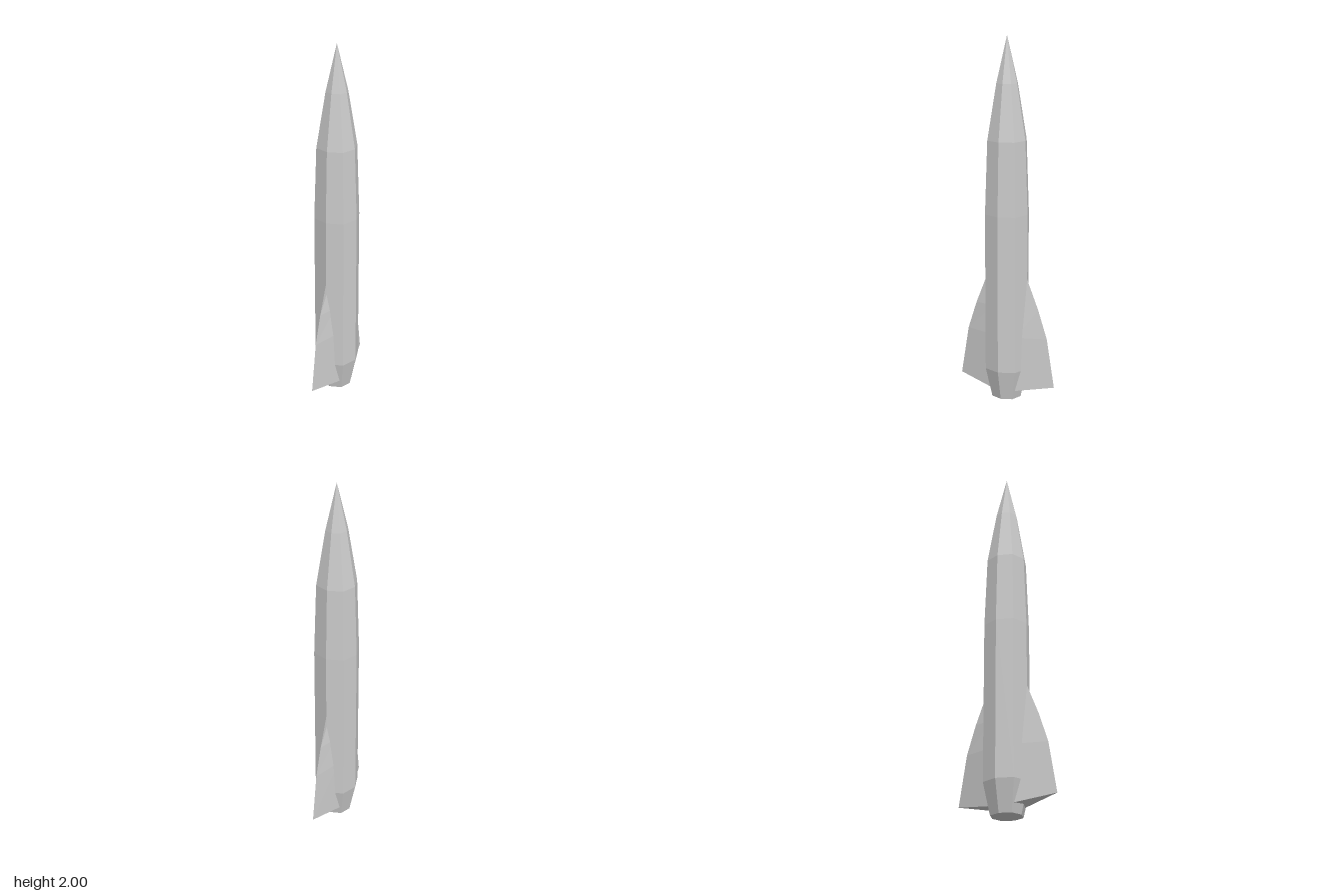
import * as THREE from 'three';

const material = new THREE.MeshStandardMaterial({ color: 0xcccccc, flatShading: true });

// Eight-sided body, corners on the axes, with the diagonal corners pushed out slightly
function createBody() {
  const profile = [[0, 0], [0.084, 0], [0.121, 0.17], [0.121, 1.05], [0.107, 1.45], [0.058, 1.75], [0, 2]];
  const geometry = new THREE.LatheGeometry(profile.map(([r, y]) => new THREE.Vector2(r, y)), 8);
  const p = geometry.attributes.position;
  for (let i = 0; i < p.count; i++) {
    const x = p.getX(i), z = p.getZ(i);
    const s = Math.abs(x * z) > 1e-6 ? 1.045 : 1;
    p.setXYZ(i, x * s, p.getY(i), z * s);
  }
  const body = new THREE.Mesh(geometry.toNonIndexed(), material);
  body.geometry.computeVertexNormals();
  body.name = 'body';
  return body;
}

// Wedge fin lofted from triangular sections: [ridge y, ridge z, root y, root half-width]
function createFin(name) {
  const rootZ = 0.073;
  const sections = [
    [0.085, 0.285, 0.05, 0.059],
    [0.36, 0.24, 0.36, 0.047],
    [0.52, 0.188, 0.52, 0.03],
    [0.69, 0.12, 0.69, 0.003],
  ].map(([y, z, rootY, w]) => [[-w, rootY, rootZ], [0, y, z], [w, rootY, rootZ]]);
  const vertices = [];
  const tri = (a, b, c) => vertices.push(...a, ...b, ...c);
  for (let i = 0; i < sections.length - 1; i++) {
    const low = sections[i], high = sections[i + 1];
    for (let j = 0; j < 3; j++) {
      const k = (j + 1) % 3;
      tri(low[j], low[k], high[k]);
      tri(low[j], high[k], high[j]);
    }
  }
  const bottom = sections[0], top = sections[sections.length - 1];
  tri(bottom[2], bottom[1], bottom[0]);
  tri(top[0], top[1], top[2]);

  const geometry = new THREE.BufferGeometry();
  geometry.setAttribute('position', new THREE.Float32BufferAttribute(vertices, 3));
  geometry.computeVertexNormals();
  const fin = new THREE.Mesh(geometry, material);
  fin.name = name;
  return fin;
}

export function createModel() {
  const rocket = new THREE.Group();
  rocket.name = 'rocket';
  rocket.add(createBody());
  ['frontFin', 'backFin'].forEach((name, i) => {
    const fin = createFin(name);
    fin.rotation.y = i * Math.PI;
    rocket.add(fin);
  });
  return rocket;
}
